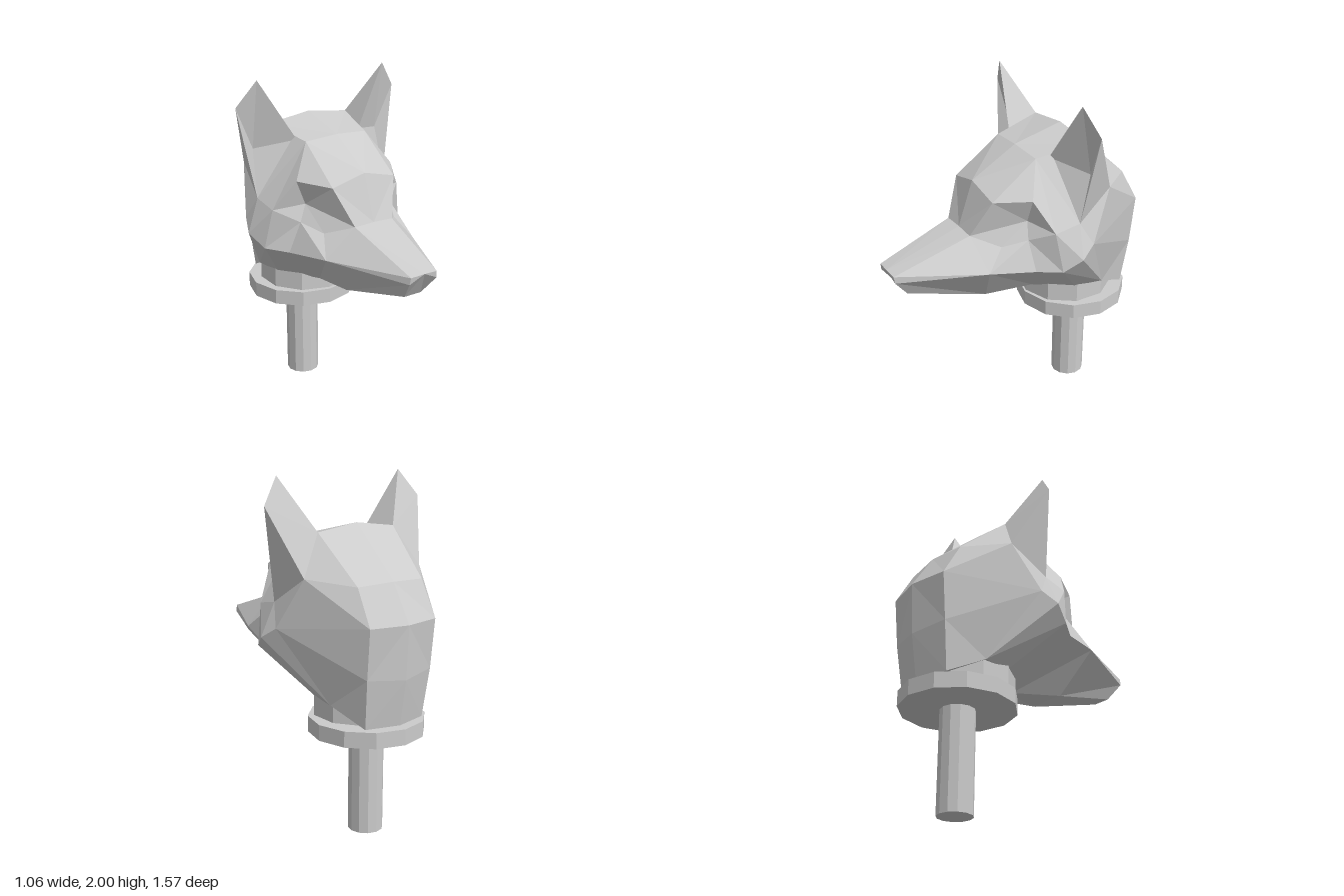
import * as THREE from 'three';

const material = new THREE.MeshStandardMaterial({ color: 0xcccccc, flatShading: true });

// Points for the +x half of the head, grouped by feature
const nose = {
  n0: [0, 1.11, 0.78], n1: [0.085, 1.105, 0.775], n2: [0.09, 1.065, 0.77],
  n3: [0.055, 0.955, 0.685], n4: [0, 0.955, 0.685],
};
const jaw = {
  m1: [0.3, 1.085, 0.3], m2: [0.38, 1.065, 0.05], m3: [0.47, 1.07, -0.07],
  j0: [0, 0.835, 0.22], j1: [0.11, 0.83, 0.22],
  k0: [0, 0.79, -0.12], k1: [0.07, 0.765, -0.12], k2: [0.25, 0.79, -0.31], k3: [0.28, 0.79, -0.48],
  kc: [0, 0.8, -0.48],
};
const brow = {
  f0: [0, 1.255, 0.325], f1: [0.125, 1.25, 0.325],
  b0: [0, 1.515, 0.235], b1: [0.205, 1.46, 0.225],
  u0: [0, 1.67, -0.04], u1: [0.2, 1.655, -0.05],
  t0: [0, 1.74, -0.34], t1: [0.26, 1.705, -0.34],
};
const eye = {
  eb: [0.32, 1.47, 0.04], ec: [0.43, 1.3, -0.04], ed: [0.31, 1.235, 0.06],
  ee: [0.24, 1.195, 0.19], eg: [0.265, 1.33, 0.04],
};
const cheek = { h: [0.515, 1.14, -0.17], p: [0.44, 1.33, -0.19], q: [0.48, 1.2, -0.26], r: [0.4, 1.48, -0.41] };
const nape = {
  s0: [0, 1.46, -0.655], s1: [0.22, 1.45, -0.63], v0: [0, 1.25, -0.785], v1: [0.225, 1.25, -0.74],
  w0: [0, 0.95, -0.77], w1: [0.22, 0.97, -0.715], x0: [0, 0.69, -0.73], x1: [0.2, 0.69, -0.68],
};
const ear = { tip: [0.42, 2, -0.19], out: [0.53, 1.85, -0.24], inn: [0.21, 1.65, -0.13], pit: [0.42, 1.6, -0.26] };
const P = { ...nose, ...jaw, ...brow, ...eye, ...cheek, ...nape, ...ear };

// Faceted half shell: polygons of named points, turned away from a centre
function facets(name, polygons, centre, side) {
  const c = new THREE.Vector3(centre[0] * side, centre[1], centre[2]);
  const points = [];
  for (const polygon of polygons) {
    const v = polygon.split(' ').map((k) => new THREE.Vector3(P[k][0] * side, P[k][1], P[k][2]));
    for (let i = 1; i < v.length - 1; i++) {
      const [a, b, d] = [v[0], v[i], v[i + 1]];
      const normal = b.clone().sub(a).cross(d.clone().sub(a));
      const outward = normal.dot(a.clone().sub(c)) > 0;
      points.push(a, ...(outward ? [b, d] : [d, b]));
    }
  }
  const geometry = new THREE.BufferGeometry().setFromPoints(points);
  geometry.computeVertexNormals();
  const mesh = new THREE.Mesh(geometry, material);
  mesh.name = name;
  return mesh;
}

const muzzleFaces = [
  'n0 n1 n2 n3 n4', 'n0 n1 f1 f0', 'n1 n2 m1 f1', 'f1 ee m1', 'm1 ee ed m2',
  'n2 n3 j1 m1', 'n3 n4 j0 j1', 'm1 j1 k1 m2', 'j1 j0 k0 k1',
];
const skullFaces = [
  'f0 f1 b1 b0', 'b0 b1 u1 u0', 'u0 u1 t1 t0', 'u1 b1 eb', 'u1 eb ec p', 'u1 p t1', 't1 p r',
  't0 t1 s1 s0', 't1 r s1', 'r q v1 s1', 'p q r', 's0 s1 v1 v0', 'v0 v1 w1 w0', 'w0 w1 x1 x0',
  'q v1 w1 k3', 'k3 w1 x1', 'k0 k1 k2 k3 kc', 'kc k3 x1 x0',
];
const cheekFaces = ['ed ec m3 m2', 'ec h m3', 'ec p h', 'p q h', 'm2 k1 k2 m3', 'm3 k2 k3 h', 'h k3 q'];
const eyeFaces = ['b1 eb eg', 'eb ec eg', 'ec ed eg', 'ed ee eg', 'ee f1 eg', 'f1 b1 eg'];
const earFaces = [
  't1 r out tip', 't1 tip inn', 'r out p',
  'inn tip pit', 'tip out pit', 'out p pit', 'p inn pit',
];

export function createModel() {
  const model = new THREE.Group();
  model.name = 'foxHeadOnStand';

  // Head, mirrored about x = 0
  const head = new THREE.Group();
  head.name = 'head';
  const centre = [0, 1.15, -0.2];
  for (const [side, label] of [[1, 'left'], [-1, 'right']]) {
    head.add(
      facets(label + 'Muzzle', muzzleFaces, centre, side),
      facets(label + 'Skull', skullFaces, centre, side),
      facets(label + 'Cheek', cheekFaces, centre, side),
      facets(label + 'EyeSocket', eyeFaces, centre, side),
      facets(label + 'Ear', earFaces, [0.38, 1.62, -0.31], side),
    );
  }
  model.add(head);

  // Neck, collar disc and post
  const cylinder = (name, radius, bottom, top, z, sides) => {
    const mesh = new THREE.Mesh(new THREE.CylinderGeometry(radius, radius, top - bottom, sides), material);
    mesh.position.set(0, (top + bottom) / 2, z);
    mesh.name = name;
    model.add(mesh);
  };
  cylinder('neck', 0.28, 0.69, 0.95, -0.4, 10);
  cylinder('collarDisc', 0.33, 0.59, 0.68, -0.445, 12);
  cylinder('post', 0.1, 0, 0.6, -0.445, 12);
  cylinder('neckPin', 0.08, 0.67, 0.7, -0.445, 12);
  return model;
}
